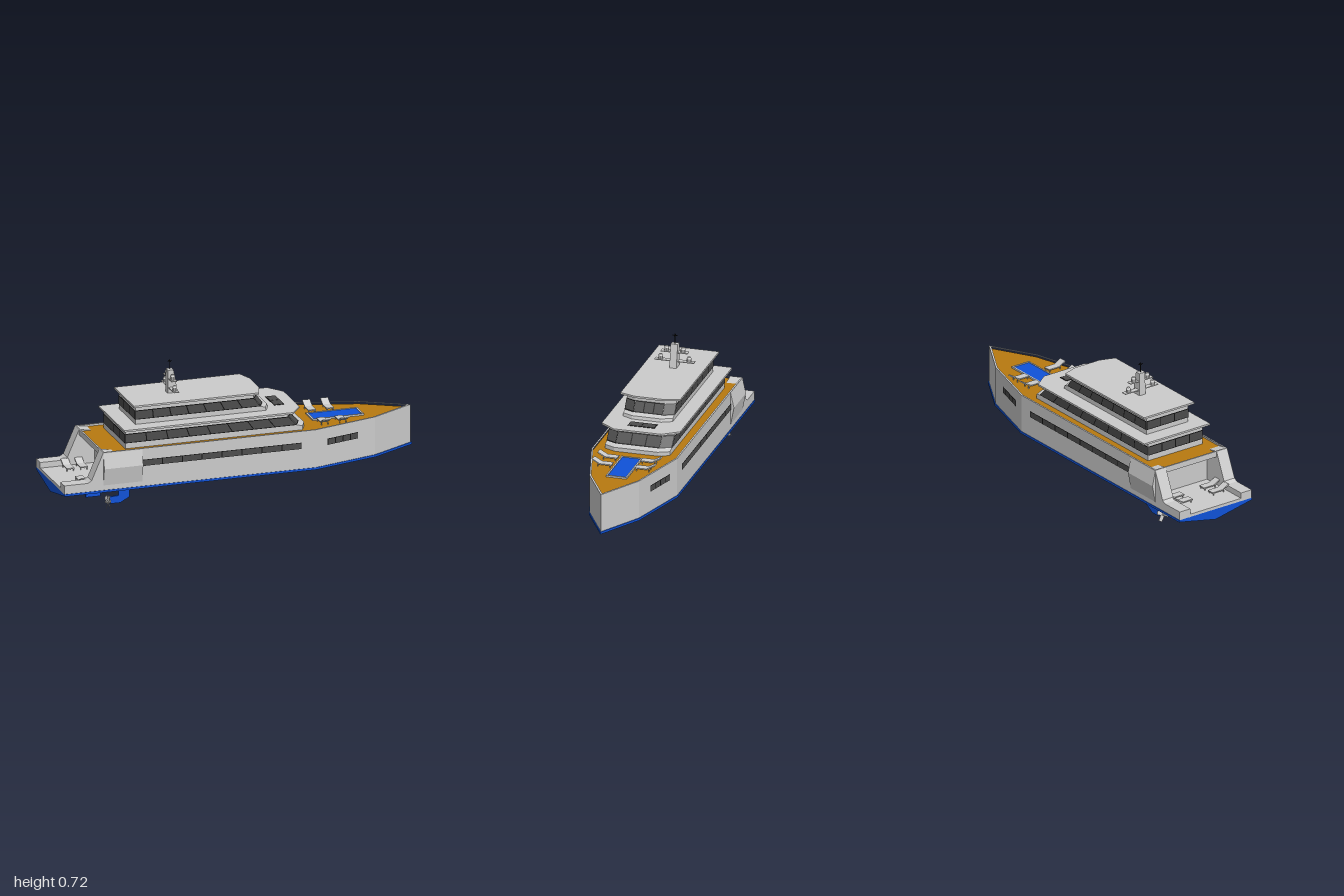
import * as THREE from 'three';
import { ConvexGeometry } from 'three/addons/geometries/ConvexGeometry.js';

const V = (x, y, z) => new THREE.Vector3(x, y, z);
const mat = (color) => new THREE.MeshStandardMaterial({ color, flatShading: true });
const GREY = mat(0xcccccc), BLUE = mat(0x0f52d8), TEAK = mat(0xb87a10), GLASS = mat(0x4c4c4c), FRAME = mat(0x111111);

function add(parent, name, geo, material, x = 0, y = 0, z = 0) {
  const m = new THREE.Mesh(geo, material);
  m.name = name;
  m.position.set(x, y, z);
  parent.add(m);
  return m;
}
const box = (p, name, material, w, h, d, x, y, z) => add(p, name, new THREE.BoxGeometry(w, h, d), material, x, y, z);

function group(parent, name, x = 0, y = 0, z = 0) {
  const g = new THREE.Group();
  g.name = name;
  g.position.set(x, y, z);
  parent.add(g);
  return g;
}

function triangles(pts) {
  const g = new THREE.BufferGeometry().setFromPoints(pts);
  g.computeVertexNormals();
  return g;
}

// Joins closed rings of points and caps both ends
function loft(rings) {
  const out = [], n = rings[0].length, last = rings[rings.length - 1];
  for (let r = 0; r + 1 < rings.length; r++)
    for (let i = 0; i < n; i++) {
      const a = rings[r], b = rings[r + 1], j = (i + 1) % n;
      out.push(a[i], a[j], b[j], a[i], b[j], b[i]);
    }
  for (let i = 1; i + 1 < n; i++) out.push(last[0], last[i], last[i + 1], rings[0][0], rings[0][i + 1], rings[0][i]);
  return triangles(out);
}

// Mirrors a half outline of [x, z] pairs into a full ring at height y
const ring = (half, y) => [
  ...half.map(([x, z]) => V(x, y, z)),
  ...half.filter(([, z]) => z > 0).reverse().map(([x, z]) => V(x, y, -z)),
];
const slab = (half, y0, y1) => loft([ring(half, y0), ring(half, y1)]);

// Dark frame with n panes, laid just over the wall a-b (bottom) to c-d (top)
function windows(parent, a, b, c, d, n) {
  const g = group(parent, 'windowBand');
  const nrm = b.clone().sub(a).cross(c.clone().sub(a)).normalize();
  const at = (u, v, off) => a.clone().lerp(b, u).lerp(c.clone().lerp(d, u), v).addScaledVector(nrm, off);
  const quad = (u0, u1, v0, v1, off) => {
    const [p, q, r, s] = [at(u0, v0, off), at(u1, v0, off), at(u1, v1, off), at(u0, v1, off)];
    return triangles([p, q, r, p, r, s]);
  };
  add(g, 'windowFrame', quad(0, 1, 0, 1, 0.002), FRAME);
  const gap = 0.003 / a.distanceTo(b);
  for (let i = 0; i < n; i++) add(g, 'windowPane', quad(i / n + gap, (i + 1) / n - gap, 0.09, 0.91, 0.0035), GLASS);
}

// Deck house: levels are [y, front x]; glass runs between levels 2 and 3
function house(parent, name, aft, w, fw, levels, counts) {
  const g = group(parent, name);
  const rings = levels.map(([y, f]) => ring([[aft, w], [f - 0.027, w], [f, fw]], y));
  add(g, 'walls', loft(rings), GREY);
  const lo = rings[2], hi = rings[3];
  counts.forEach((n, i) => windows(g, lo[i], lo[(i + 1) % 6], hi[i], hi[(i + 1) % 6], n));
}

// Lounger along z with its raised back at the outer end
function lounger(parent, x, y, side) {
  const g = group(parent, 'lounger', x, y, side * 0.115);
  box(g, 'seat', GREY, 0.042, 0.006, 0.065, 0, 0.015, -side * 0.018);
  const back = box(g, 'backrest', GREY, 0.042, 0.006, 0.05, 0, 0.026, side * 0.034);
  back.rotation.x = -side * 0.5;
  for (const lx of [-0.017, 0.017]) for (const lz of [-0.042, 0.025])
    box(g, 'leg', GREY, 0.004, 0.014, 0.004, lx, 0.007, side * lz);
}

function hull(parent) {
  const g = group(parent, 'hull');
  const plan = (x) => [[x, 0.235], [0.39, 0.235], [0.75, 0.135], [0.99, 0]];
  add(g, 'topsides', slab(plan(-0.7), 0.118, 0.31), GREY);
  add(g, 'bootStripe', slab([[-1, 0.238], [0.392, 0.238], [0.755, 0.138], [1, 0]], 0.107, 0.119), BLUE);
  add(g, 'mainDeck', slab([[-0.784, 0.23], [0.39, 0.23], [0.748, 0.13], [0.98, 0]], 0.298, 0.315), TEAK);

  // Bulwark around the deck edge
  const flat = (half) => ring(half, 0).map((p) => new THREE.Vector2(p.x, p.z));
  const rim = new THREE.Shape(flat(plan(-0.785)));
  rim.holes.push(new THREE.Path(flat([[-0.777, 0.226], [0.387, 0.226], [0.742, 0.128], [0.968, 0]])));
  const rimGeo = new THREE.ExtrudeGeometry(rim, { depth: 0.032, bevelEnabled: false }).rotateX(-Math.PI / 2);
  add(g, 'bulwark', rimGeo, GREY, 0, 0.295, 0);

  // Swim platform between two sloping stern wings
  box(g, 'swimPlatform', GREY, 0.31, 0.017, 0.47, -0.845, 0.1265, 0);
  const wing = new THREE.Shape([[-1, 0.118], [-0.7, 0.118], [-0.7, 0.312], [-0.785, 0.326], [-0.85, 0.178], [-0.87, 0.166], [-1, 0.166]]
    .map(([x, y]) => new THREE.Vector2(x, y)));
  const wingGeo = new THREE.ExtrudeGeometry(wing, { depth: 0.069, bevelEnabled: false });
  for (const s of [1, -1]) {
    add(g, 'sternWing', wingGeo, GREY, 0, 0, s > 0 ? 0.166 : -0.235);
    const bulge = [];
    for (const x of [-0.785, -0.57]) bulge.push(V(x, 0.325, s * 0.234), V(x, 0.24, s * 0.253), V(x, 0.14, s * 0.234));
    add(g, 'sideBulge', new ConvexGeometry(bulge), GREY);
    for (const [x0, z0, x1, z1, n] of [[-0.57, 0.235, 0.31, 0.235, 8], [0.46, 0.2156, 0.645, 0.1642, 4]]) {
      const ends = [[x0, z0], [x1, z1]];
      if (s < 0) ends.reverse();
      const [a, b, c, d] = [0.23, 0.265].flatMap((y) => ends.map(([x, z]) => V(x, y, s * z)));
      windows(g, a, b, c, d, n);
    }
    for (const x of [-0.865, -0.79]) lounger(g, x, 0.135, s);
    for (const x of [0.47, 0.57]) lounger(g, x, 0.315, s);
  }

  // Shallow V bottom with a step, and the deep keel
  const vee = ([x, keel, h]) => [V(x, 0.108, h), V(x, keel, 0), V(x, 0.108, -h)];
  add(g, 'bottom', loft([[-1, 0.06, 0.236], [0.39, 0.06, 0.236]].map(vee)), BLUE);
  add(g, 'foreBottom', loft([[0.39, 0.08, 0.236], [0.6, 0.09, 0.178], [0.75, 0.104, 0.136], [0.99, 0.106, 0]].map(vee)), BLUE);
  add(g, 'keel', new ConvexGeometry([V(-0.58, 0.06, 0), V(-0.52, 0.026, 0), V(0.02, 0.06, 0), V(-0.5, 0.082, 0.1), V(-0.5, 0.082, -0.1)]), BLUE);
}

function drive(parent, z, propZ) {
  const g = group(parent, 'drive');
  const fin = new THREE.Shape([[-0.735, 0.028], [-0.68, 0.028], [-0.63, 0.055], [-0.63, 0.105], [-0.69, 0.105], [-0.69, 0.068], [-0.74, 0.065]]
    .map(([x, y]) => new THREE.Vector2(x, y)));
  add(g, 'driveFin', new THREE.ExtrudeGeometry(fin, { depth: 0.011, bevelEnabled: false }), BLUE, 0, 0, z - 0.0055);
  box(g, 'rudder', BLUE, 0.08, 0.03, 0.011, -0.83, 0.092, z);
  const prop = group(g, 'propeller', -0.75, 0.041, propZ);
  add(prop, 'hub', new THREE.CylinderGeometry(0.006, 0.008, 0.03, 8).rotateZ(Math.PI / 2), GREY);
  for (let i = 0; i < 4; i++) {
    const arm = group(prop, 'blade');
    arm.rotation.x = 0.45 + i * Math.PI / 2;
    box(arm, 'bladePlate', GREY, 0.003, 0.034, 0.02, 0, 0.024, 0).rotation.y = 0.4;
  }
}

function mast(parent) {
  const g = group(parent, 'mast');
  const pts = [];
  for (const z of [-0.019, 0.019]) pts.push(V(-0.357, 0.535, z), V(-0.3, 0.535, z), V(-0.325, 0.666, z), V(-0.355, 0.666, z));
  add(g, 'pylon', new ConvexGeometry(pts), GREY);
  for (const [y, half, dz] of [[0.57, 0.108, 0.078], [0.62, 0.074, 0.045]]) {
    box(g, 'spreader', GREY, 0.03, 0.004, half * 2, -0.338, y, 0);
    for (const s of [1, -1]) {
      add(g, 'domeBase', new THREE.CylinderGeometry(0.013, 0.013, 0.018, 10), GREY, -0.338, y + 0.01, s * dz);
      add(g, 'domeTop', new THREE.CylinderGeometry(0.008, 0.013, 0.01, 10), GREY, -0.338, y + 0.024, s * dz);
    }
  }
  add(g, 'antenna', new THREE.CylinderGeometry(0.002, 0.002, 0.056, 6), FRAME, -0.34, 0.692, 0);
  box(g, 'antennaBar', FRAME, 0.003, 0.003, 0.028, -0.34, 0.711, 0);
  box(g, 'antennaBar', FRAME, 0.024, 0.003, 0.003, -0.34, 0.711, 0);
}

export function createModel() {
  const yacht = new THREE.Group();
  yacht.name = 'yacht';
  hull(yacht);

  // Two deck houses with overhanging roofs
  house(yacht, 'lowerHouse', -0.645, 0.178, 0.12,
    [[0.313, 0.362], [0.337, 0.362], [0.345, 0.33], [0.397, 0.28], [0.421, 0.28]], [8, 1, 3, 1, 8, 4]);
  add(yacht, 'lowerRoof', slab([[-0.662, 0.215], [0.27, 0.215], [0.333, 0.13]], 0.419, 0.429), GREY);
  house(yacht, 'upperHouse', -0.575, 0.136, 0.08,
    [[0.428, 0.175], [0.446, 0.17], [0.455, 0.143], [0.506, 0.105], [0.531, 0.105]], [7, 1, 3, 1, 7, 3]);
  add(yacht, 'upperRoof', slab([[-0.592, 0.164], [0.1, 0.164], [0.128, 0.08]], 0.53, 0.54), GREY);

  // Skylight on the lower roof
  for (const s of [1, -1]) box(yacht, 'skylight', GLASS, 0.05, 0.004, 0.068, 0.24, 0.43, s * 0.036);
  box(yacht, 'skylightFrame', FRAME, 0.056, 0.003, 0.148, 0.24, 0.4295, 0);

  // Foredeck pool
  box(yacht, 'poolWater', BLUE, 0.265, 0.007, 0.1, 0.573, 0.3175, 0);
  for (const s of [1, -1]) {
    box(yacht, 'poolRim', GREY, 0.285, 0.01, 0.008, 0.573, 0.319, s * 0.053);
    box(yacht, 'poolRim', GREY, 0.01, 0.01, 0.114, 0.573 + s * 0.1375, 0.319, 0);
  }

  mast(yacht);
  drive(yacht, 0.195, 0.204);
  drive(yacht, -0.17, -0.158);
  return yacht;
}
